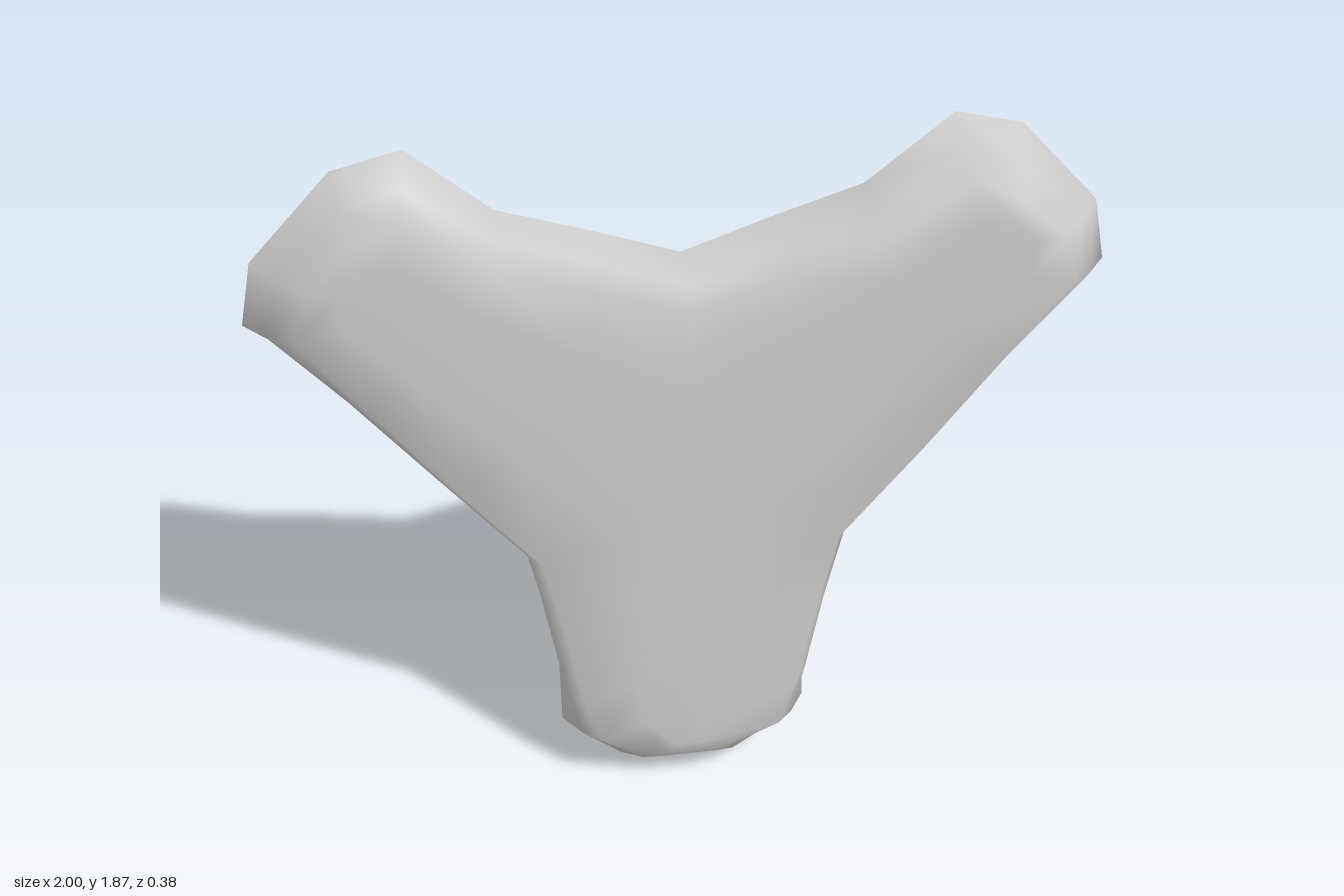
import * as THREE from 'three';
import { mergeVertices } from 'three/addons/utils/BufferGeometryUtils.js';

// Right half of the outline: rim x, rim y, matching arm-axis x, y, rim z, front bevel width
const HALF = [
  [0.17, 0.0, 0, 0.2, 0.04, 0.15],
  [0.325, 0.15, 0, 0.3, 0.04, 0.1],
  [0.325, 0.32, 0, 0.42, 0.01, 0.05],
  [0.365, 0.56, 0, 0.68, 0, 0.05],
  [0.41, 0.78, 0, 1.0, 0, 0.05],
  [0.605, 1.03, 0.25, 1.21, 0, 0.05],
  [0.8, 1.28, 0.5, 1.415, 0.01, 0.06],
  [1.0, 1.46, 0.66, 1.55, 0.04, 0.12],
  [0.965, 1.62, 0.72, 1.6, 0.04, 0.12],
  [0.77, 1.83, 0.72, 1.6, 0.04, 0.12],
  [0.61, 1.87, 0.66, 1.55, 0.04, 0.1],
  [0.42, 1.69, 0.5, 1.415, 0.01, 0.06],
  [0.21, 1.615, 0.25, 1.21, 0, 0.05],
  [0, 1.54, 0, 1.0, 0, 0.05],
];
const mirrored = HALF.slice(0, -1).reverse().map(([x, y, sx, ...rest]) => [-x, y, -sx, ...rest]);
const OUTLINE = [...HALF, ...mirrored];

// Point a fraction t of the way from the rim to the arm axis
const inward = ([x, y, sx, sy], t, z) => [x + (sx - x) * t, y + (sy - y) * t, z];

// Front: steep bevelled edge, then an almost flat face
function frontRings(p) {
  const [x, y, sx, sy, rimZ, bevel] = p;
  const b = bevel / Math.hypot(sx - x, sy - y);
  const tip = rimZ > 0.02;
  return [
    inward(p, 0, rimZ),
    inward(p, b * (tip ? 0.5 : 0.3), 0.125),
    inward(p, b, 0.185),
    inward(p, b + (1 - b) * 0.5, 0.192),
    inward(p, 1, 0.195),
  ];
}

// Back: dome that falls from the arm axis to the rim
function backRings(p) {
  const [, , sx, sy, rimZ] = p;
  const axisZ = -0.19 + 0.19 * (sx * sx + (sy - 1) ** 2);
  return [0, 0.2, 0.45, 0.7, 1].map((t) =>
    inward(p, t, axisZ + (rimZ - axisZ) * (1 - t) ** 1.5));
}

// Skin concentric rings into a smooth surface
function shell(name, ringsOf, flip) {
  const columns = OUTLINE.map(ringsOf);
  const rows = columns[0].length;
  const n = columns.length;
  const index = [];
  for (let i = 0; i < n; i++) {
    for (let j = 0; j < rows - 1; j++) {
      const a = i * rows + j;
      const b = ((i + 1) % n) * rows + j;
      if (flip) index.push(a, a + 1, b, b, a + 1, b + 1);
      else index.push(a, b, a + 1, b, b + 1, a + 1);
    }
  }
  let geometry = new THREE.BufferGeometry();
  geometry.setAttribute('position', new THREE.Float32BufferAttribute(columns.flat(2), 3));
  geometry.setIndex(index);
  geometry = mergeVertices(geometry, 1e-4);
  geometry.computeVertexNormals();
  const mesh = new THREE.Mesh(geometry, new THREE.MeshStandardMaterial({ color: 0xcccccc }));
  mesh.name = name;
  return mesh;
}

export function createModel() {
  const group = new THREE.Group();
  group.name = 'threeArmedPlate';
  group.add(shell('frontFace', frontRings, false), shell('domedBack', backRings, true));
  return group;
}
